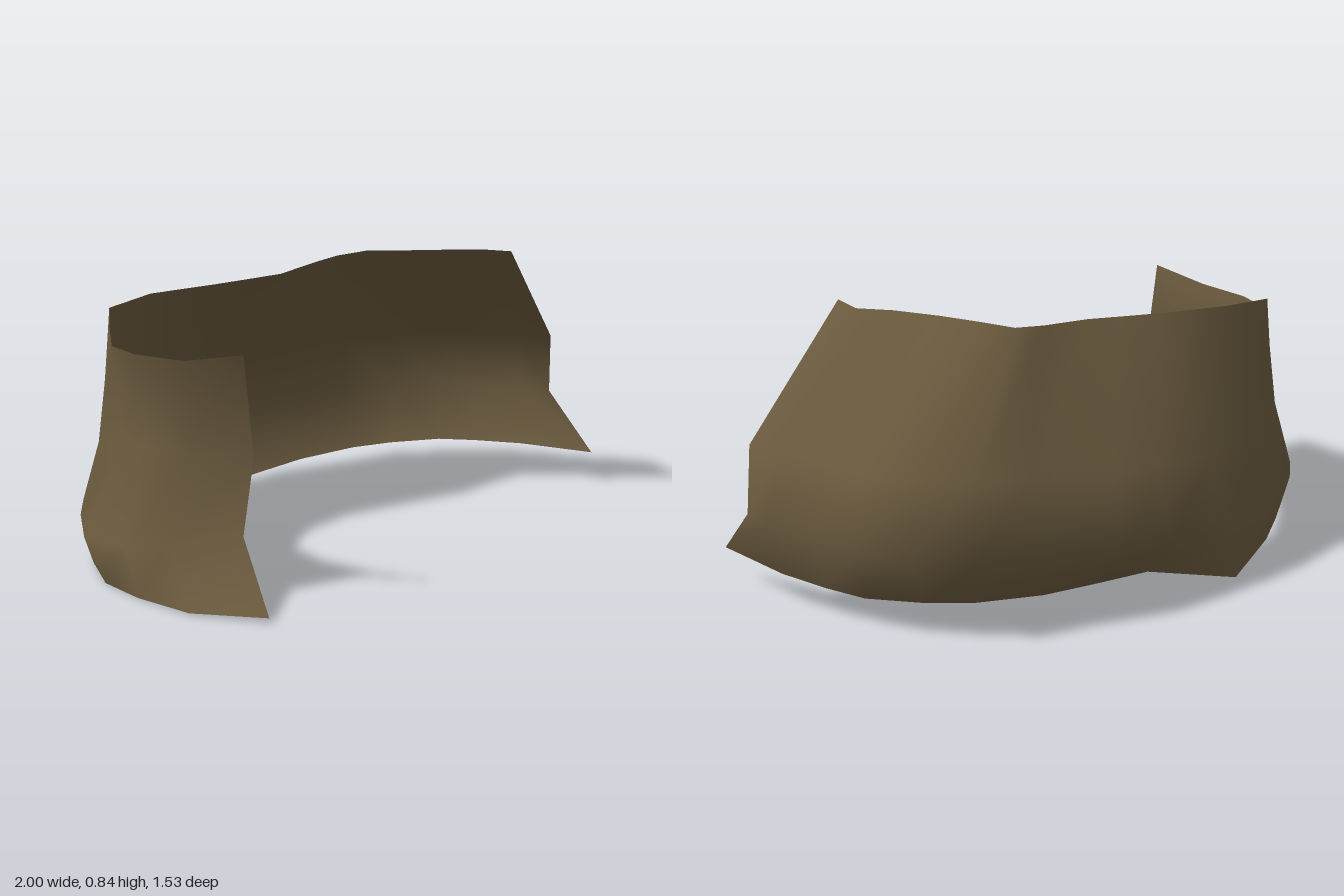
import * as THREE from 'three';

// Each rail runs from the forward wing (-x) around the back to the +x end.
// Rails given as [x, z] get their height from a gentle slope along x.
const slope = (rail, base, rise) => rail.map(([x, z]) => [x, base + rise * x, z]);

// Lower rim, with a notch behind the wing
const rimPlan = [
  [-0.7, 0.765], [-0.86, 0.59], [-0.92, 0.38], [-0.94, 0.2], [-0.89, 0], [-0.82, -0.13],
  [-0.7, -0.31], [-0.46, -0.6], [-0.21, -0.5], [-0.02, -0.56], [0.17, -0.615], [0.39, -0.63],
  [0.53, -0.6], [0.69, -0.53], [0.78, -0.43], [0.88, -0.29], [1, -0.035],
];

// Belly, the widest line
const bellyPlan = [
  [-0.64, 0.5], [-0.84, 0.42], [-0.945, 0.36], [-1, 0.19], [-0.92, -0.02], [-0.85, -0.16],
  [-0.72, -0.32], [-0.43, -0.59], [-0.22, -0.67], [-0.04, -0.73], [0.24, -0.745], [0.43, -0.77],
  [0.6, -0.7], [0.75, -0.62], [0.82, -0.49], [0.94, -0.36], [0.97, -0.25],
];

// Shoulder: pinched in at the wing, elsewhere an inset of the belly
const shoulderPlan = [
  [-0.58, 0.455], [-0.71, 0.3], [-0.78, 0.16], [-0.8, 0.06],
  ...bellyPlan.slice(4, -1).map(([x, z]) => [x * 0.93, z * 0.88]),
  [0.95, -0.22],
];

// Upper rim, uneven in height
const upperRim = [
  [-0.67, 0.72, 0.57], [-0.77, 0.685, 0.4], [-0.84, 0.68, 0.22], [-0.845, 0.68, 0.07],
  [-0.81, 0.71, -0.02], [-0.77, 0.76, -0.11], [-0.59, 0.775, -0.2], [-0.35, 0.78, -0.23],
  [-0.22, 0.785, -0.243], [-0.1, 0.79, -0.255], [0.07, 0.805, -0.33], [0.17, 0.815, -0.36],
  [0.26, 0.83, -0.32], [0.36, 0.835, -0.23], [0.48, 0.84, -0.14], [0.58, 0.84, -0.08],
  [0.61, 0.845, 0.02],
];

// Skin neighbouring rails with quads, sharing vertices for smooth normals.
function skin(rails) {
  const count = rails[0].length;
  const index = [];
  for (let r = 0; r < rails.length - 1; r++) {
    for (let i = 0; i < count - 1; i++) {
      const a = r * count + i, b = a + count;
      index.push(a, b, a + 1, a + 1, b, b + 1);
    }
  }
  const geometry = new THREE.BufferGeometry();
  geometry.setAttribute('position', new THREE.Float32BufferAttribute(rails.flat(2), 3));
  geometry.setIndex(index);
  geometry.computeVertexNormals();
  return geometry;
}

export function createModel() {
  const brown = new THREE.MeshStandardMaterial({ color: 0x6a5a3e, side: THREE.DoubleSide });
  brown.name = 'earth brown';

  const shell = new THREE.Mesh(skin([
    slope(rimPlan, 0.053, 0.053),
    slope(bellyPlan, 0.22, 0.07),
    slope(shoulderPlan, 0.43, 0.065),
    upperRim,
  ]), brown);
  shell.name = 'curvedShell';

  const group = new THREE.Group();
  group.name = 'shellFragment';
  group.add(shell);
  return group;
}
